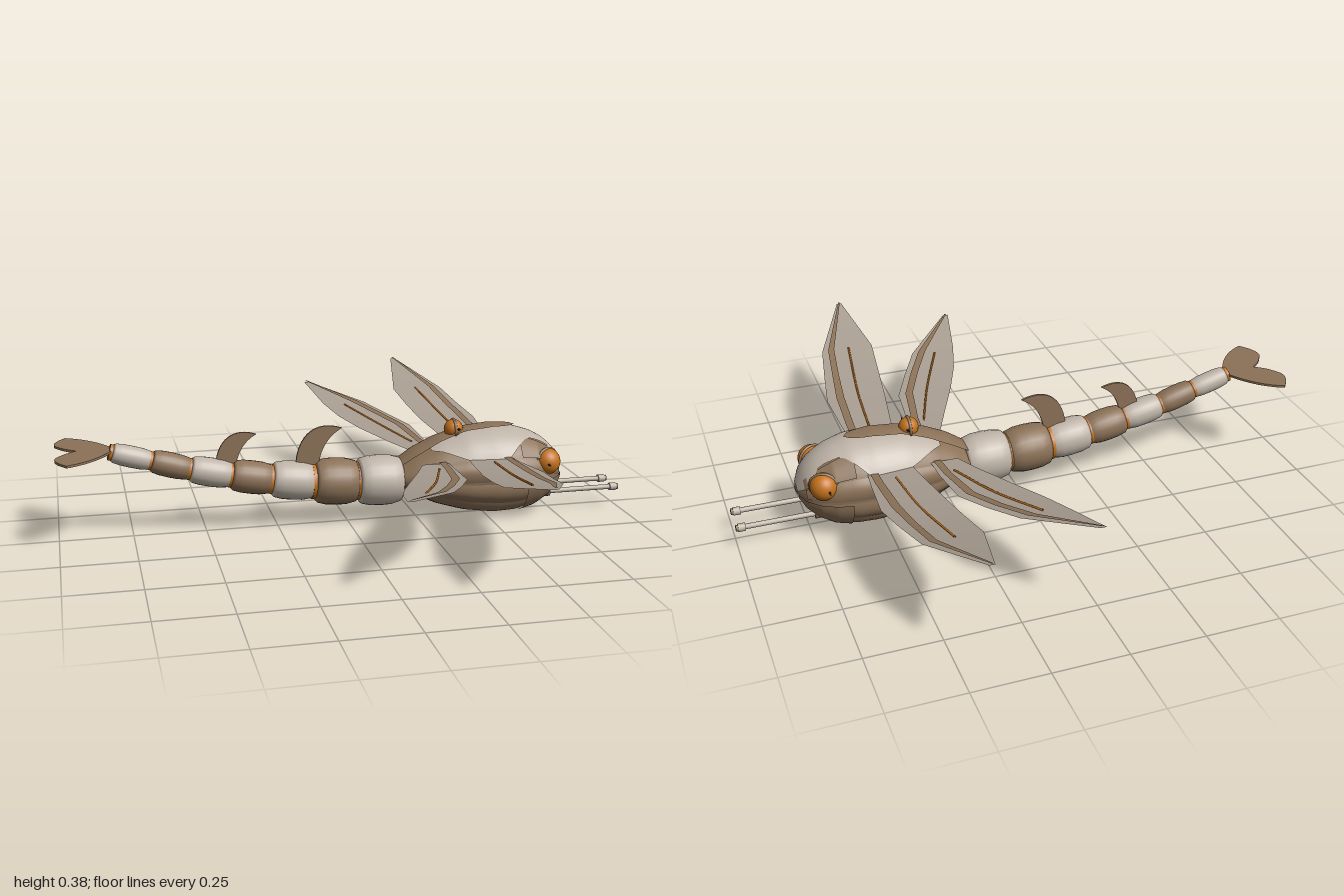
import * as THREE from 'three';

const paint = (name, color) => {
  const m = new THREE.MeshStandardMaterial({ color, side: THREE.DoubleSide });
  m.name = name;
  return m;
};

export function createModel() {
  const root = new THREE.Group();
  root.name = 'dragonflyCraft';
  const brown = paint('bronze brown', 0x8c7258);
  const light = paint('pale shell', 0xbfb4a8);
  const orange = paint('amber', 0xc4731c);
  const membrane = paint('wing membrane', 0xa89d91);
  const dark = paint('dark trim', 0x3d332a);

  const add = (name, geo, mat, x = 0, y = 0, z = 0, parent = root) => {
    const m = new THREE.Mesh(geo, mat);
    m.name = name;
    m.position.set(x, y, z);
    parent.add(m);
    return m;
  };

  // Surface made from rows of points
  const sheet = (rows) => {
    const n = rows[0].length, pos = rows.flat(2), idx = [];
    for (let i = 0; i < rows.length - 1; i++)
      for (let j = 0; j < n - 1; j++) {
        const a = i * n + j, b = a + n;
        idx.push(a, a + 1, b, a + 1, b + 1, b);
      }
    const g = new THREE.BufferGeometry();
    g.setAttribute('position', new THREE.Float32BufferAttribute(pos, 3));
    g.setIndex(idx);
    g.computeVertexNormals();
    return g;
  };

  // Hull stations: x, bottom y, top y, half width
  const hull = [
    [0.19, 0.12, 0.205, 0.075], [0.24, 0.085, 0.24, 0.1], [0.32, 0.05, 0.278, 0.122],
    [0.42, 0.022, 0.308, 0.142], [0.52, 0.008, 0.317, 0.152], [0.6, 0.01, 0.312, 0.15],
    [0.67, 0.03, 0.29, 0.138], [0.72, 0.06, 0.262, 0.115], [0.76, 0.1, 0.222, 0.08],
    [0.785, 0.145, 0.165, 0.02],
  ];
  const lerp = THREE.MathUtils.lerp;
  const section = (x) => {
    let i = 0;
    while (i < hull.length - 2 && x > hull[i + 1][0]) i++;
    const t = (x - hull[i][0]) / (hull[i + 1][0] - hull[i][0]);
    return hull[i].map((v, k) => lerp(v, hull[i + 1][k], t));
  };
  // Panel on the hull between two angles (degrees) that may vary along its length
  const panel = (x0, x1, lo, hi, lift = 0, bulge = 0, nu = 28, nv = 16) => {
    const rows = [];
    for (let i = 0; i <= nu; i++) {
      const t = i / nu, x = lerp(x0, x1, t), [, b, top, w] = section(x), row = [];
      for (let j = 0; j <= nv; j++) {
        const a = lerp(lo(t), hi(t), j / nv) * Math.PI / 180;
        const d = lift + bulge * Math.sin(Math.PI * j / nv) * Math.sin(Math.PI * t);
        const s = Math.sin(a), r = s > 0 ? top - 0.155 : 0.155 - b;
        row.push([x, 0.155 + (r + d) * s, (w + d) * Math.cos(a)]);
      }
      rows.push(row);
    }
    return sheet(rows);
  };
  const k = (v) => () => v;

  add('hullCore', panel(0.19, 0.785, k(0), k(360), -0.005, 0, 28, 40), brown);
  // Overlapping belly petals
  for (let i = 0; i < 5; i++)
    add('bellyPetal', panel(0.19, 0.785, k(184 + i * 34.4), k(218.4 + i * 34.4), -0.004, 0.008), brown);
  for (const side of [0, 1]) {
    const lo = side ? 152 : 0, hi = side ? 180 : 28;
    add('sidePanel', panel(0.19, 0.76, k(lo), k(hi), -0.002, 0.009), brown);
  }
  // Pale back shell, narrowing between the eyes
  const edge = (t) => (t < 0.5 ? 62 - 40 * Math.sin(Math.PI * Math.min(t * 1.2, 0.5))
    : lerp(22, 62, Math.min((t - 0.5) * 5, 1)) - (t > 0.85 ? (t - 0.85) * 300 : 0));
  add('backShell', panel(0.29, 0.783, edge, (t) => 180 - edge(t), 0.006), light);
  // Pointed spine plate
  const spine = (t) => 90 - 26 * Math.pow(Math.max(0, 1 - t), 0.45) * (1 + 0.2 * Math.cos(t * 6));
  add('spinePlate', panel(0.185, 0.61, spine, (t) => 180 - spine(t), 0.014), brown);

  // Dorsal turret with short spikes
  add('turret', new THREE.SphereGeometry(0.034, 20, 14), orange, 0.385, 0.318, 0);
  const band = add('turretBand', new THREE.TorusGeometry(0.034, 0.005, 8, 24), brown, 0.385, 0.318, 0);
  band.rotation.y = Math.PI / 2;
  for (const s of [-1, 1]) {
    const spike = add('turretSpike', new THREE.ConeGeometry(0.006, 0.04, 8), dark, 0.395, 0.325, s * 0.042);
    spike.rotation.x = s * 1.3;
  }

  for (const s of [-1, 1]) {
    // Eyes
    const eye = new THREE.Group();
    eye.name = s > 0 ? 'leftEye' : 'rightEye';
    eye.position.set(0.705, 0.205, s * 0.097);
    root.add(eye);
    add('eyeBall', new THREE.SphereGeometry(0.047, 24, 16), orange, 0, 0, 0, eye);
    add('eyeRim', new THREE.TorusGeometry(0.046, 0.006, 8, 28), brown, 0, 0, 0, eye).rotation.y = s * 0.4;
    const lash = add('eyeSpike', new THREE.ConeGeometry(0.006, 0.035, 8), dark, -0.01, 0, s * 0.05, eye);
    lash.rotation.x = s * Math.PI / 2;

    // Forward barrels
    const rod = (name, r, x0, x1, mat) => {
      const m = add(name, new THREE.CylinderGeometry(r, r, x1 - x0, 14), mat, (x0 + x1) / 2, 0.078, s * 0.052);
      m.rotation.z = -Math.PI / 2;
    };
    rod('barrelSocket', 0.018, 0.66, 0.735, brown);
    rod('barrel', 0.009, 0.7, 0.975, light);
    rod('muzzle', 0.014, 0.968, 0.992, light);
    rod('muzzleTip', 0.011, 0.992, 1.0, brown);

    // Brow and jaw plates on the face
    const f = (a) => (s > 0 ? a : 180 - a);
    add('browPlate', panel(0.6, 0.765, k(f(30)), (t) => f(64 - 8 * t), 0.004), brown);
    add('jawPlate', panel(0.62, 0.78, k(f(-4)), (t) => f(-75 + 30 * t), 0.008), brown);
  }

  // Wing rows: z, trailing edge, spar start, spar end, leading edge
  const wings = {
    frontWing: { drop: 0, vein: [[0.48, 0.18], [0.465, 0.4], [0.432, 0.67]], rows: [
      [0.1, 0.41, 0.53, 0.555, 0.56], [0.2, 0.397, 0.528, 0.555, 0.57], [0.38, 0.372, 0.52, 0.548, 0.583],
      [0.52, 0.357, 0.506, 0.53, 0.56], [0.67, 0.342, 0.487, 0.51, 0.533], [0.93, 0.395, 0.4, 0.406, 0.412]] },
    rearWing: { drop: 0.012, vein: [[0.282, 0.18], [0.21, 0.38], [0.12, 0.58]], rows: [
      [0.1, 0.245, 0.305, 0.33, 0.34], [0.2, 0.2, 0.297, 0.322, 0.337], [0.36, 0.125, 0.27, 0.298, 0.324],
      [0.48, 0.075, 0.215, 0.243, 0.267], [0.6, 0.04, 0.15, 0.178, 0.202], [0.795, 0, 0.006, 0.013, 0.02]] },
  };
  for (const [name, { drop, vein, rows }] of Object.entries(wings))
    for (const s of [-1, 1]) {
      const wing = new THREE.Group();
      wing.name = name;
      root.add(wing);
      const p = (x, z, lift) => [x, 0.232 + 0.17 * z * z - drop + lift, s * z];
      // Points run so that the upper face is always the front
      const strip = (a, b, lift) => sheet(rows.map((r) => {
        const pair = [p(r[a], r[0], lift), p(r[b], r[0], lift)];
        return s > 0 ? pair.reverse() : pair;
      }));
      add('membrane', strip(1, 4, 0), membrane, 0, 0, 0, wing);
      add('spar', strip(2, 3, 0.005), brown, 0, 0, 0, wing);
      const curve = new THREE.CatmullRomCurve3(vein.map(([x, z]) => new THREE.Vector3(...p(x, z, 0.003))));
      add('vein', new THREE.TubeGeometry(curve, 16, 0.0035, 6), orange, 0, 0, 0, wing);
    }

  // Tail segments: joint x, joint y, radius of the segment that follows
  const joints = [
    [0.195, 0.145, 0.09], [0.035, 0.148, 0.083], [-0.12, 0.157, 0.068], [-0.27, 0.175, 0.058],
    [-0.41, 0.2, 0.05], [-0.55, 0.23, 0.043], [-0.68, 0.268, 0.037], [-0.81, 0.305, 0.03]];
  const up = new THREE.Vector3(0, 1, 0);
  for (let i = 0; i < 7; i++) {
    const [x0, y0, r] = joints[i], [x1, y1] = joints[i + 1];
    const dir = new THREE.Vector3(x1 - x0, y1 - y0, 0), len = dir.length();
    dir.normalize();
    const profile = [[0, -0.5], [0.76, -0.5], [0.88, -0.46], [0.98, -0.25], [1, 0], [0.98, 0.25], [0.9, 0.44], [0.78, 0.5], [0, 0.5]]
      .map(([a, b]) => new THREE.Vector2(a * r, b * len * 0.97));
    const seg = add('tailSegment', new THREE.LatheGeometry(profile, 24), i % 2 ? brown : light, (x0 + x1) / 2, (y0 + y1) / 2);
    seg.quaternion.setFromUnitVectors(up, dir);
    const ring = add('tailJoint', new THREE.CylinderGeometry(r * 0.75, r * 0.75, 0.02, 20), orange, x1, y1);
    ring.quaternion.copy(seg.quaternion);
  }

  // Curved dorsal fins
  const finShape = new THREE.Shape();
  finShape.moveTo(-0.085, -0.03);
  finShape.bezierCurveTo(-0.085, 0.07, -0.03, 0.15, 0.08, 0.11);
  finShape.quadraticCurveTo(0.005, 0.07, -0.005, -0.03);
  const plate = (shape) => new THREE.ExtrudeGeometry(shape, { depth: 0.008, bevelEnabled: false, curveSegments: 14 });
  for (const [x, y, sc] of [[-0.1, 0.235, 1], [-0.39, 0.245, 0.87]])
    add('dorsalFin', plate(finShape), brown, x, y, -0.004).scale.set(sc, sc, 1);

  // Forked tail fan
  const lobe = new THREE.Shape();
  lobe.moveTo(-0.8, 0);
  lobe.quadraticCurveTo(-0.86, 0.13, -0.96, 0.172);
  lobe.quadraticCurveTo(-1.02, 0.1, -0.985, 0.06);
  lobe.quadraticCurveTo(-0.965, 0.025, -0.925, 0);
  for (const s of [-1, 1])
    add('tailFan', plate(lobe), brown, 0, 0.314 - s * 0.004, 0).rotation.x = -s * Math.PI / 2;
  return root;
}
